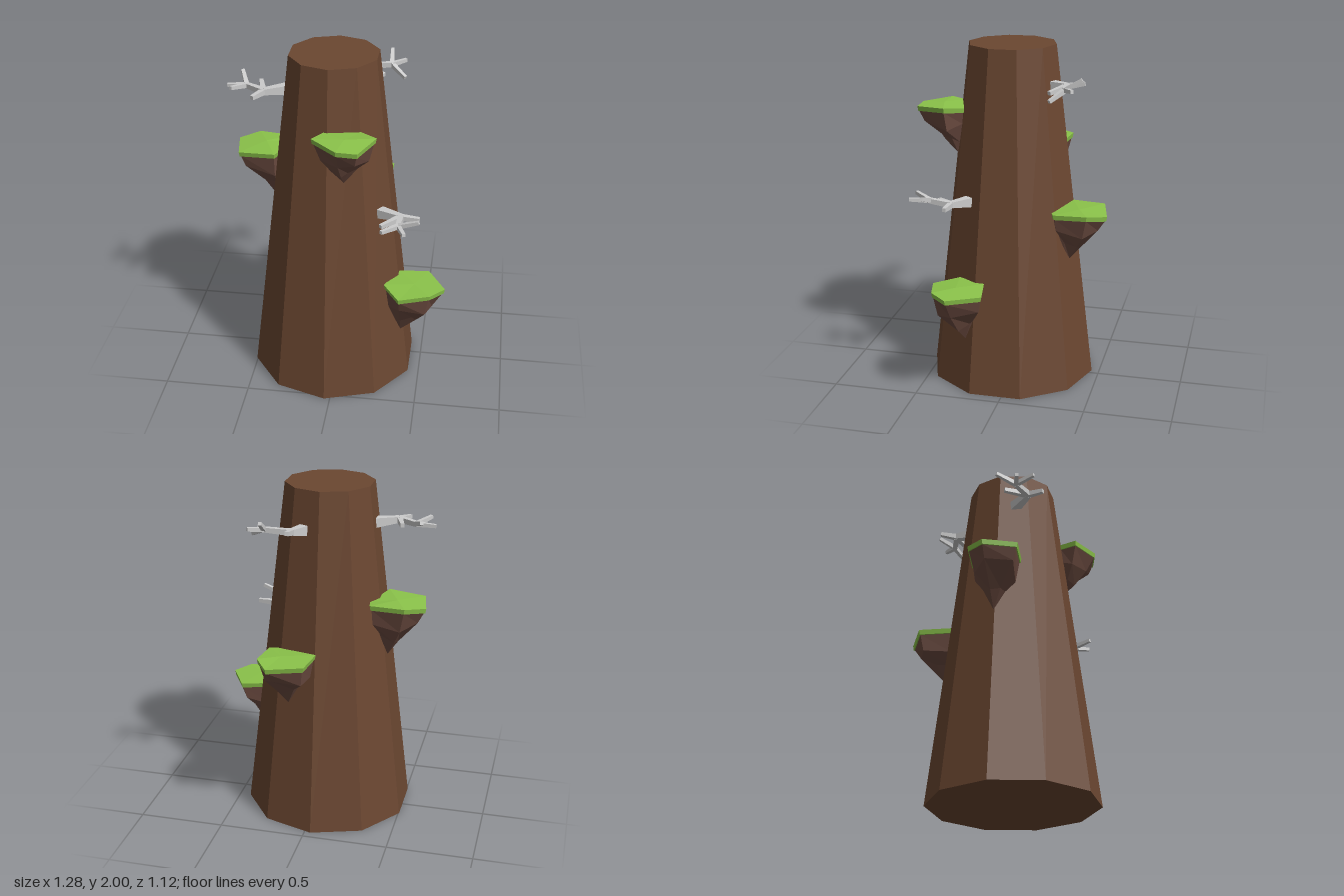
import * as THREE from 'three';

const paint = (color) => new THREE.MeshStandardMaterial({ color, flatShading: true });
const bark = paint(0x6b4731), rock = paint(0x6d4c41), grass = paint(0x8bc34a), wood = paint(0xcccccc);

// Closed solid from rings listed top to bottom, with an apex at each end
function loft(top, rings, tip) {
  const pos = [];
  const tri = (...p) => p.forEach((v) => pos.push(v.x, v.y, v.z));
  const n = rings[0].length, last = rings[rings.length - 1];
  for (let i = 0; i < n; i++) {
    const j = (i + 1) % n;
    tri(top, rings[0][j], rings[0][i]);
    for (let k = 0; k < rings.length - 1; k++) {
      const a = rings[k], b = rings[k + 1];
      tri(a[i], a[j], b[i]);
      tri(a[j], b[j], b[i]);
    }
    tri(tip, last[i], last[j]);
  }
  const g = new THREE.BufferGeometry();
  g.setAttribute('position', new THREE.Float32BufferAttribute(pos, 3));
  g.computeVertexNormals();
  return g;
}

function named(name, geometry, material) {
  const m = new THREE.Mesh(geometry, material);
  m.name = name;
  return m;
}

// Floating ledge: grass slab over a rough rock cone
function ledge(name, y, outline, tipAt, seed) {
  const g = new THREE.Group();
  g.name = name;
  const wobble = (i, k) => Math.sin(i * 2.4 + k * 1.7 + seed);
  const n = outline.length;
  const rim = outline.map(([x, z], i) => new THREE.Vector3(x, y + 0.008 * wobble(i, 0), z));
  const mid = rim.reduce((s, p) => s.add(p), new THREE.Vector3()).divideScalar(n);
  const under = rim.map((p) => p.clone().lerp(mid, 0.03).setY(p.y - 0.028));
  const peak = mid.clone().setY(y + 0.01), floor = mid.clone().setY(y - 0.03);
  g.add(named('grassTop', loft(peak, [rim, under], floor), grass));

  const tip = new THREE.Vector3(...tipAt), h = y - 0.025 - tip.y;
  const ring = (inset, drop, k) => under.map((p, i) => {
    const q = p.clone().lerp(tip, inset + 0.07 * wobble(i, k));
    return q.setY(y - 0.025 - h * (drop + 0.08 * wobble(i, k + 3)));
  });
  const rings = [under.map((p) => p.clone().lerp(mid, 0.04)), ring(0.2, 0.33, 1), ring(0.64, 0.66, 2)];
  g.add(named('rock', loft(floor, rings, tip), rock));
  return g;
}

// Tapered square bar between two points
function bar(name, a, b, w0, w1) {
  const from = new THREE.Vector3(...a), to = new THREE.Vector3(...b);
  const geo = new THREE.CylinderGeometry(w1 * 0.707, w0 * 0.707, from.distanceTo(to), 4, 1, false, Math.PI / 4);
  geo.rotateX(Math.PI / 2);
  const m = named(name, geo, wood);
  m.position.copy(from).lerp(to, 0.5);
  m.lookAt(to);
  return m;
}

// Bare branch: stem, fork with two side twigs, then three end twigs
function branch(name, base, fork, end, sides, tips) {
  const g = new THREE.Group();
  g.name = name;
  g.add(bar('stem', base, fork, 0.055, 0.034), bar('limb', fork, end, 0.034, 0.027));
  sides.forEach((t) => g.add(bar('sideTwig', fork, t, 0.032, 0.022)));
  tips.forEach((t) => g.add(bar('endTwig', end, t, 0.026, 0.019)));
  return g;
}

export function createModel() {
  const model = new THREE.Group();
  model.name = 'treeTrunk';

  // Ten-sided tapered trunk
  const trunk = named('trunk', new THREE.CylinderGeometry(0.256, 0.495, 2, 10), bark);
  trunk.position.set(-0.035, 1, 0.04);
  model.add(trunk);

  // Grassy ledges, outlines as [x, z]
  model.add(
    ledge('frontLedge', 1.65, [[-0.11, 0.42], [-0.055, 0.33], [0.145, 0.28], [0.24, 0.375], [0.157, 0.555], [0.04, 0.555]],
      [0.06, 1.36, 0.345], 0.5),
    ledge('rightLedge', 1.362, [[-0.63, -0.15], [-0.52, -0.23], [-0.32, -0.205], [-0.305, -0.125], [-0.38, 0.08], [-0.595, 0.05]],
      [-0.405, 1.03, -0.08], 4.5),
    ledge('backLedge', 1.08, [[-0.017, -0.515], [0.19, -0.56], [0.267, -0.455], [0.25, -0.26], [0.21, -0.245], [-0.04, -0.325]],
      [0.12, 0.78, -0.335], 2.5),
    ledge('leftLedge', 0.665, [[0.365, 0.115], [0.537, 0.085], [0.64, 0.27], [0.56, 0.37], [0.38, 0.415], [0.285, 0.28]],
      [0.385, 0.33, 0.225], 1.2),
  );

  // Bare branches
  model.add(
    branch('rightBranch', [-0.29, 1.775, 0.045], [-0.42, 1.78, 0.12], [-0.53, 1.78, 0.045],
      [[-0.46, 1.785, -0.02], [-0.47, 1.775, 0.205]],
      [[-0.64, 1.775, 0.045], [-0.575, 1.82, -0.07], [-0.6, 1.8, 0.145]]),
    branch('leftBranch', [0.25, 1.125, 0.23], [0.375, 1.14, 0.3], [0.37, 1.155, 0.425],
      [[0.48, 1.14, 0.31], [0.27, 1.13, 0.4]],
      [[0.485, 1.195, 0.44], [0.41, 1.165, 0.535], [0.285, 1.17, 0.53]]),
    branch('backBranch', [0.055, 1.78, -0.215], [0.1, 1.79, -0.305], [0.25, 1.8, -0.32],
      [[0.1, 1.81, -0.405], [0.215, 1.77, -0.225]],
      [[0.33, 1.81, -0.375], [0.245, 1.86, -0.415], [0.335, 1.75, -0.25]]),
  );
  return model;
}
